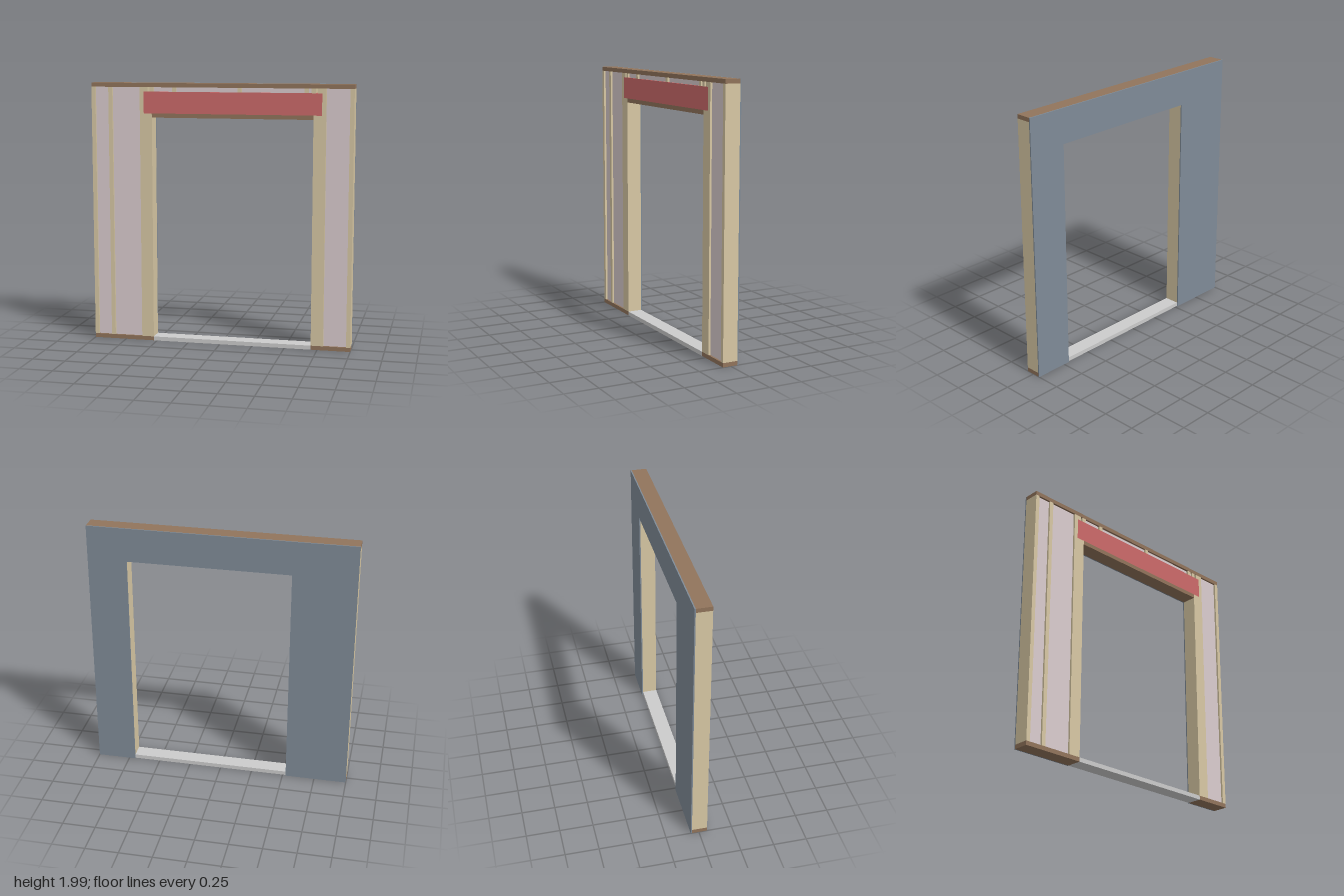
import * as THREE from 'three';

const T = 0.0313;                 // lumber thickness
const H = 1.99;                   // wall height
const ZF = 0.062, ZS = -0.053, ZB = -0.062; // front, back of frame, back of sheathing
const L = -0.525, R = 0.702;      // doorway sides
const HEAD_LOW = 1.762, HEAD_TOP = 1.925, TOP = H - T;

const paint = (color) => new THREE.MeshStandardMaterial({ color });

export function createModel() {
  const wall = new THREE.Group();
  wall.name = 'framedWall';
  const stud = paint(0xd8c8a4), plate = paint(0x91745b), red = paint(0xcc6a6a);
  const fill = paint(0xdaccce), sheet = paint(0x7f8b97), grey = paint(0xcccccc);

  // box given by its limits; frame depth unless told otherwise
  const box = (name, mat, x0, x1, y0, y1, z0 = ZS, z1 = ZF) => {
    const m = new THREE.Mesh(new THREE.BoxGeometry(x1 - x0, y1 - y0, z1 - z0), mat);
    m.position.set((x0 + x1) / 2, (y0 + y1) / 2, (z0 + z1) / 2);
    m.name = name;
    wall.add(m);
  };

  // plates and threshold
  box('topPlate', plate, -1, 1, TOP, H);
  box('bottomPlateRight', plate, -1, L, 0, T);
  box('bottomPlateLeft', plate, R, 1, 0, T);
  box('threshold', grey, L, R, 0, T);

  // full-height studs: ends, intermediate and king studs
  const kingL = L - 3 * T, kingR = R + 2 * T;
  for (const x of [-1, -0.866, kingL, kingR, 1 - T]) box('stud', stud, x, x + T, T, TOP);

  // doubled jack studs carrying the header
  for (const x of [L - 2 * T, L - T, R, R + T]) box('jackStud', stud, x, x + T, T, HEAD_LOW);

  // header and the flat plate under it
  box('header', red, L - 2 * T, R + 2 * T, HEAD_LOW, HEAD_TOP);
  box('headerPlate', plate, L, R, HEAD_LOW - T, HEAD_LOW);

  // short cripple studs above the header
  const cripples = [L - 2 * T, L - T / 2, -0.35 - T / 2, 0.15 - T / 2, 0.65 - T / 2, R - T / 2, R + T];
  for (const x of cripples) box('crippleStud', stud, x, x + T, HEAD_TOP, TOP);

  // insulation set slightly back in each bay
  const inset = ZF - 0.015;
  for (const [a, b] of [[-1 + T, -0.866], [-0.866 + T, kingL], [kingR + T, 1 - T]])
    box('insulation', fill, a, b, T, TOP, ZS, inset);
  for (let i = 1; i < cripples.length - 2; i++)
    box('headerInsulation', fill, cripples[i] + T, cripples[i + 1], HEAD_TOP, TOP, ZS, inset);

  // sheathing on the back, in three panels
  box('sheathingRight', sheet, -1, L, 0, H, ZB, ZS);
  box('sheathingLeft', sheet, R, 1, 0, H, ZB, ZS);
  box('sheathingAboveDoor', sheet, L, R, HEAD_LOW - T, H, ZB, ZS);

  return wall;
}
